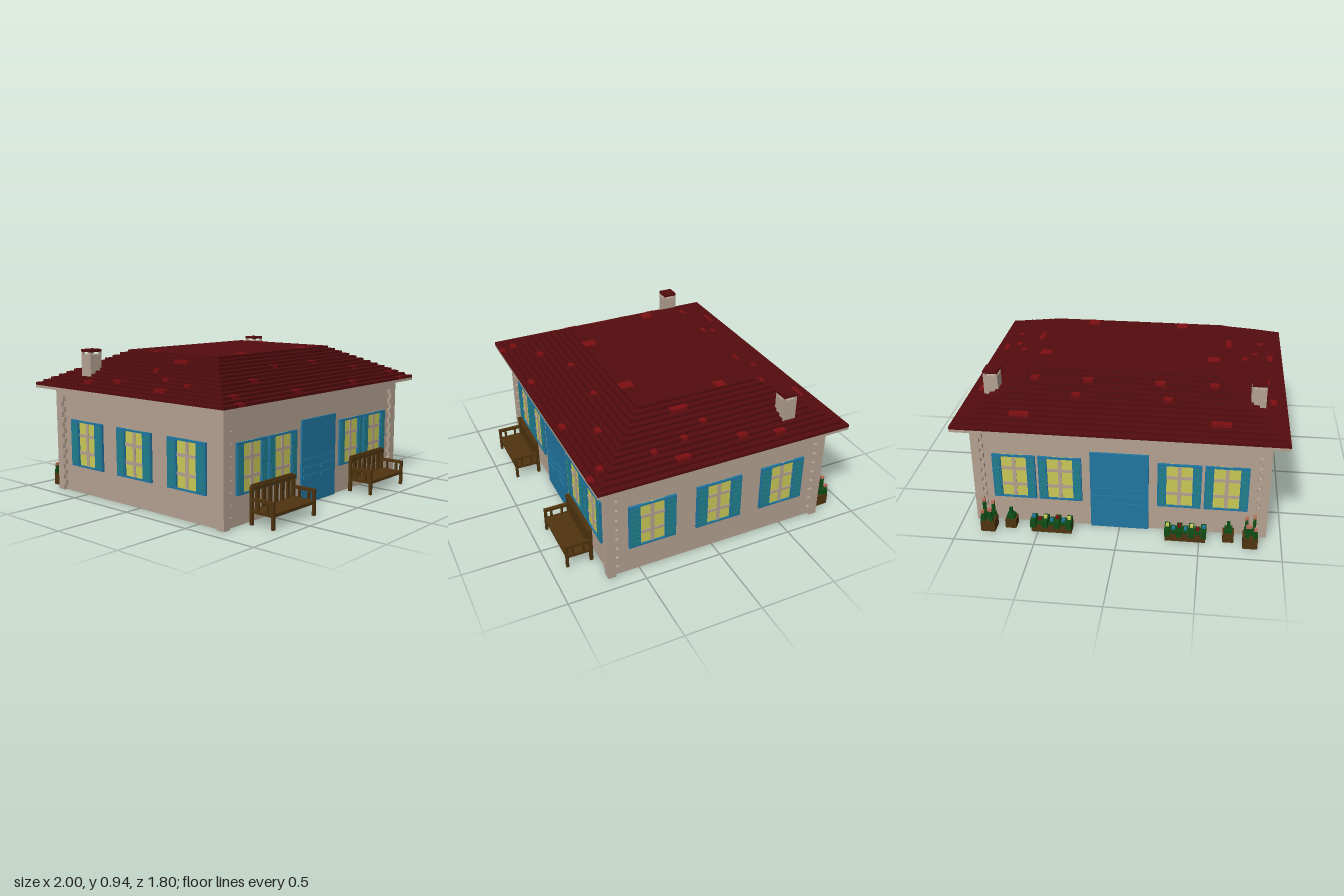
import * as THREE from 'three';

const paint = (name, hex) => {
  const m = new THREE.MeshStandardMaterial({ color: hex });
  m.name = name;
  return m;
};
const MAT = {
  wall: paint('beige plaster', 0xb5a292),
  roof: paint('dark red roof', 0x540c0e),
  tile: paint('bright red tile', 0x7c0e11),
  blue: paint('blue wood', 0x2077a1),
  teal: paint('teal slats', 0x1f808a),
  glass: paint('yellow glass', 0xcaca58),
  wood: paint('brown wood', 0x50340f),
  leaf: paint('dark green leaf', 0x0e4c16),
  pink: paint('pink blossom', 0xb8705a),
};

// Box given by its minimum and maximum on each axis
function box(parent, name, mat, x0, x1, y0, y1, z0, z1) {
  const mesh = new THREE.Mesh(new THREE.BoxGeometry(x1 - x0, y1 - y0, z1 - z0), mat);
  mesh.position.set((x0 + x1) / 2, (y0 + y1) / 2, (z0 + z1) / 2);
  mesh.name = name;
  parent.add(mesh);
  return mesh;
}

function group(parent, name, x = 0, y = 0, z = 0, ry = 0) {
  const g = new THREE.Group();
  g.name = name;
  g.position.set(x, y, z);
  g.rotation.y = ry;
  parent.add(g);
  return g;
}

// Window with panes, glazing bars and a pair of louvred shutters, facing +z
function addWindow(parent, x, shutterW) {
  const g = group(parent, 'window', x);
  const h = 0.08, y0 = 0.18, y1 = 0.485;
  box(g, 'glass', MAT.glass, -h, h, y0, y1, 0, 0.003);
  box(g, 'verticalBar', MAT.wall, -0.011, 0.011, y0, y1, 0, 0.008);
  for (const y of [0.275, 0.388]) box(g, 'crossBar', MAT.wall, -h, h, y - 0.01, y + 0.01, 0, 0.008);
  box(g, 'lintel', MAT.blue, -h, h, y1 - 0.012, y1, 0, 0.014);
  box(g, 'sill', MAT.blue, -h, h, y0, y0 + 0.01, 0, 0.014);
  for (const s of [-1, 1]) {
    const sh = group(g, 'shutter', s * (h + shutterW / 2));
    const w = shutterW / 2;
    box(sh, 'shutterPanel', MAT.blue, -w, w, y0, y1, 0, 0.015);
    for (let i = 0; i < 8; i++) {
      const y = y0 + 0.018 + i * 0.034;
      box(sh, 'slat', MAT.teal, -w + 0.008, w - 0.008, y, y + 0.027, 0.012, 0.0185);
    }
  }
}

// Double door with raised bars, facing +z
function addDoor(parent) {
  const g = group(parent, 'door');
  box(g, 'doorPanel', MAT.blue, -0.18, 0.18, 0, 0.535, 0, 0.013);
  for (const s of [-1, 1])
    for (const y of [0.17, 0.222, 0.274])
      box(g, 'doorBar', MAT.blue, s * 0.093 - 0.073, s * 0.093 + 0.073, y - 0.012, y + 0.012, 0, 0.019);
}

function addWalls(model) {
  const g = group(model, 'walls');
  box(g, 'wallCore', MAT.wall, -0.89, 0.89, 0, 0.69, -0.755, 0.69);
  box(g, 'topBand', MAT.wall, -0.91, 0.91, 0.63, 0.69, -0.775, 0.71);
  // Toothed corner stones
  for (const sx of [-1, 1])
    for (const sz of [-1, 1]) {
      const corner = group(g, 'cornerStones', sx * 0.91, 0, sz > 0 ? 0.71 : -0.775);
      for (let i = 0; i < 18; i++) {
        const w = i % 2 ? 0.072 : 0.053;
        const x = -sx * w, z = -sz * w;
        box(corner, 'cornerStone', MAT.wall, Math.min(0, x), Math.max(0, x),
          i * 0.035, (i + 1) * 0.035, Math.min(0, z), Math.max(0, z));
      }
    }
  // Long walls with a door and four windows each
  for (const [name, z, ry] of [['frontWall', 0.69, 0], ['backWall', -0.755, Math.PI]]) {
    const face = group(g, name, 0, 0, z, ry);
    addDoor(face);
    for (const x of [-0.653, -0.367, 0.367, 0.653]) addWindow(face, x, 0.054);
  }
  // Short walls with three windows each
  for (const s of [-1, 1]) {
    const face = group(g, 'sideWall', s * 0.89, 0, -0.034, s * Math.PI / 2);
    for (const x of [-0.447, 0, 0.447]) addWindow(face, x, 0.074);
  }
}

function addRoof(model) {
  const g = group(model, 'roof', 0, 0.703, -0.04);
  const n = 13, inset = 0.0357, rise = 0.0175, hx = 1, hz = 0.83;
  box(g, 'eaves', MAT.wall, -hx, hx, -0.018, 0, -hz, hz);
  for (let i = 0; i < n; i++) {
    const a = hx - i * inset, b = hz - i * inset;
    box(g, 'roofStep', MAT.roof, -a, a, i * rise, (i + 1) * rise, -b, b);
  }
  // Scattered bright tiles, each wrapping the edge of its step: x, z, width
  const tiles = [
    [0.60, -0.74, 0.12], [0.28, -0.605, 0.05], [0.22, -0.51, 0.06], [0.55, -0.51, 0.055],
    [0.715, 0.01, 0.04], [0.90, 0.23, 0.09], [0.80, 0.17, 0.04], [0.625, 0.12, 0.11],
    [0.83, 0.38, 0.035], [0.90, -0.42, 0.07], [0.87, -0.18, 0.06], [0.53, 0.61, 0.055],
    [0.82, 0.70, 0.05], [0.30, 0.745, 0.06], [0.85, 0.78, 0.05], [0.20, 0.48, 0.04],
  ];
  for (const s of [-1, 1]) {
    for (const [x, zw, w] of tiles) {
      const z = zw + 0.04;
      const dx = hx - x, dz = hz - Math.abs(z);
      const i = Math.min(n - 1, Math.floor(Math.min(dx, dz) / inset));
      const y0 = i * rise + 0.001, y1 = (i + 1) * rise + 0.003;
      if (dx < dz) {
        const e = s * (hx - i * inset + 0.003), f = e - s * 0.038;
        box(g, 'brightTile', MAT.tile, Math.min(e, f), Math.max(e, f), y0, y1, z - w / 2, z + w / 2);
      } else {
        const t = Math.sign(z), e = t * (hz - i * inset + 0.003), f = e - t * 0.038;
        box(g, 'brightTile', MAT.tile, s * x - w / 2, s * x + w / 2, y0, y1, Math.min(e, f), Math.max(e, f));
      }
    }
    const top = n * rise;
    box(g, 'brightTile', MAT.tile, s * 0.535 - 0.035, s * 0.535 + 0.035, top - 0.002, top + 0.002, -0.205, -0.135);
    box(g, 'brightTile', MAT.tile, s * 0.305 - 0.035, s * 0.305 + 0.035, top - 0.002, top + 0.002, 0.315, 0.4);
  }
}

// Chimney with a cap on four corner posts
function addChimney(model, x) {
  const g = group(model, 'chimney', x, 0, -0.517);
  box(g, 'stack', MAT.wall, -0.045, 0.045, 0.72, 0.912, -0.045, 0.045);
  for (const sx of [-1, 1])
    for (const sz of [-1, 1])
      box(g, 'capPost', MAT.wall, sx * 0.037 - 0.008, sx * 0.037 + 0.008, 0.912, 0.93, sz * 0.037 - 0.008, sz * 0.037 + 0.008);
  box(g, 'cap', MAT.roof, -0.046, 0.046, 0.928, 0.945, -0.046, 0.046);
}

function addBench(model, x) {
  const g = group(model, 'bench', x);
  const w = 0.203, B = (name, ...d) => box(g, name, MAT.wood, ...d);
  B('seat', -w, w, 0.073, 0.092, 0.735, 0.9);
  B('topRail', -w, w, 0.205, 0.227, 0.728, 0.752);
  B('topRailCrest', -w + 0.01, w - 0.01, 0.22, 0.236, 0.726, 0.742);
  for (let i = 0; i < 6; i++) {
    const c = -0.145 + i * 0.058;
    B('backSlat', c - 0.014, c + 0.014, 0.09, 0.21, 0.732, 0.746);
  }
  for (const s of [-1, 1]) {
    const c = s * (w - 0.009);
    B('backPost', c - 0.009, c + 0.009, 0, 0.215, 0.728, 0.748);
    B('frontLeg', c - 0.009, c + 0.009, 0, 0.155, 0.885, 0.902);
    B('armRest', c - 0.011, c + 0.011, 0.145, 0.162, 0.735, 0.903);
    for (const z of [0.785, 0.855]) B('armSlat', c - 0.006, c + 0.006, 0.09, 0.148, z - 0.007, z + 0.007);
  }
}

// Pots and a flower trough along the back wall, built on the +x side and mirrored by s
function addPlants(model, s) {
  const g = group(model, 'plants');
  const B = (name, mat, x, hw, y0, y1, z0, z1) => box(g, name, mat, s * x - hw, s * x + hw, y0, y1, z0, z1);
  // Tall flower pot
  B('largePot', MAT.wood, 0.81, 0.045, 0, 0.075, -0.9, -0.81);
  for (const [x, z, h] of [[0.785, -0.828, 0.165], [0.83, -0.86, 0.2], [0.79, -0.885, 0.145], [0.838, -0.888, 0.13], [0.81, -0.85, 0.12]]) {
    B('stem', MAT.leaf, x, 0.009, 0.07, h, z - 0.009, z + 0.009);
    B('leaf', MAT.leaf, x, 0.014, 0.075, 0.105, z - 0.012, z + 0.012);
    B('blossom', MAT.pink, x, 0.01, h, h + 0.018, z - 0.01, z + 0.01);
  }
  // Small pot
  B('smallPot', MAT.wood, 0.677, 0.034, 0, 0.06, -0.85, -0.78);
  B('shrub', MAT.leaf, 0.677, 0.024, 0.055, 0.085, -0.84, -0.79);
  B('shrubTip', MAT.leaf, 0.677, 0.01, 0.08, 0.13, -0.825, -0.805);
  // Trough with leaves and mixed flowers
  B('trough', MAT.wood, 0.415, 0.125, 0, 0.05, -0.87, -0.79);
  const flowers = [MAT.glass, MAT.blue, MAT.tile, MAT.blue, MAT.glass, MAT.tile, MAT.blue];
  flowers.forEach((mat, i) => {
    const x = 0.305 + i * 0.037, top = i % 2 ? 0.07 : 0.09, out = i % 2 ? 0.865 : 0.885;
    B('leaves', MAT.leaf, x, 0.017, 0.04, top, -out, -0.8);
    B('flower', mat, x, 0.01, top - 0.002, top + 0.016, -0.85, -0.83);
  });
}

export function createModel() {
  const model = new THREE.Group();
  model.name = 'house';
  addWalls(model);
  addRoof(model);
  for (const s of [-1, 1]) {
    addChimney(model, s * 0.815);
    addBench(model, s * 0.508);
    addPlants(model, s);
  }
  return model;
}
